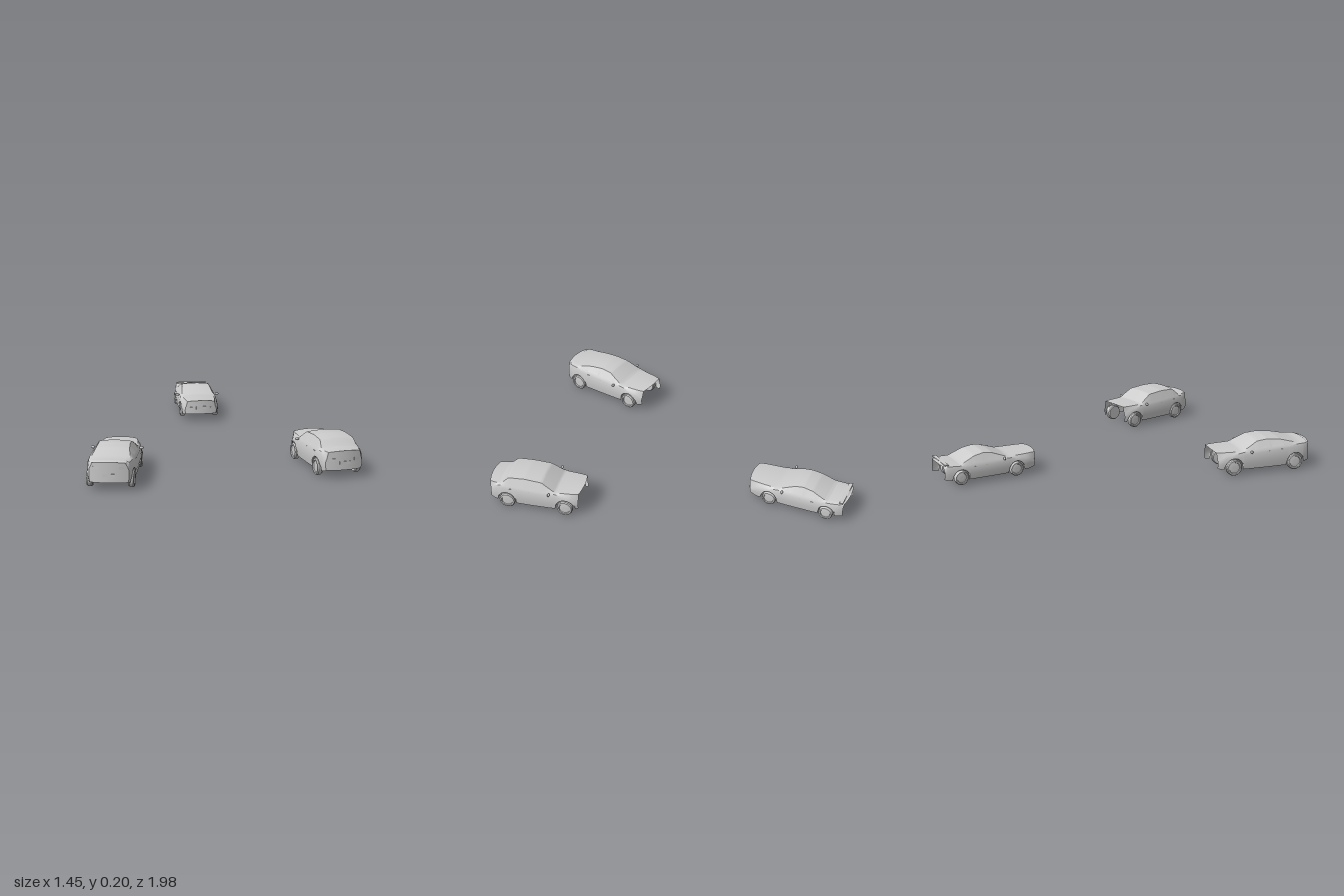
import * as THREE from 'three';
import { toCreasedNormals } from 'three/addons/utils/BufferGeometryUtils.js';

const mat = new THREE.MeshStandardMaterial({ color: 0xcccccc, side: THREE.DoubleSide });

function part(name, geometry, parent, x = 0, y = 0, z = 0) {
  const mesh = new THREE.Mesh(geometry, mat);
  mesh.name = name;
  mesh.position.set(x, y, z);
  parent.add(mesh);
  return mesh;
}

// Piecewise linear profile through [s, value] points
function along(points, s) {
  if (s <= points[0][0]) return points[0][1];
  for (let i = 1; i < points.length; i++) {
    const [s0, v0] = points[i - 1], [s1, v1] = points[i];
    if (s <= s1) return v0 + (v1 - v0) * (s - s0) / (s1 - s0);
  }
  return points[points.length - 1][1];
}

// Surface patch from a rule f(i, j) -> [x, y, z]
function patch(nu, nv, f) {
  const pos = [], idx = [];
  for (let i = 0; i <= nu; i++) for (let j = 0; j <= nv; j++) pos.push(...f(i, j));
  for (let i = 0; i < nu; i++) for (let j = 0; j < nv; j++) {
    const a = i * (nv + 1) + j, b = a + nv + 1;
    idx.push(a, b, a + 1, b, b + 1, a + 1);
  }
  const g = new THREE.BufferGeometry();
  g.setAttribute('position', new THREE.Float32BufferAttribute(pos, 3));
  g.setIndex(idx);
  return toCreasedNormals(g, 0.45);
}

const COLS = 10, SIDE = 4, STATIONS = 72;

// One car facing local +z
function makeCar(name, c) {
  const car = new THREE.Group();
  car.name = name;
  const bulge = 0.022, end = c.half - bulge;
  const roofY = Math.max(...c.roof.map(p => p[1]));

  // Cross-section rails at station s: rows of [half width, height] from sill to roof edge
  function rows(s) {
    const q = s * c.half / end;
    const t = Math.abs(s) / end;
    const hw = c.hw * (1 - 0.07 * t * t - 0.1 * t ** 10);
    let sill = 0.032 + 0.014 * t ** 8;
    for (const w of c.wheels) {
      const d = Math.abs(s - w), r = c.wheelR + 0.005;
      if (d < r) sill = Math.max(sill, c.wheelR + c.base + Math.sqrt(r * r - d * d));
    }
    const belt = along(c.belt, q);
    const top = Math.max(belt + 0.005, along(c.roof, q));
    const k = Math.min(1, (top - belt - 0.005) / (roofY - belt));
    const mid = Math.max(0.068, sill + 0.004);
    return [
      [hw * 0.95, sill],
      [hw, Math.min(mid, belt - 0.008)],
      [hw * 0.99, Math.max(mid, belt - 0.022) * 0.5 + (belt - 0.006) * 0.5],
      [hw * 0.94, belt],
      [hw * 0.85 + (c.roofHw - hw * 0.85) * k, top],
    ];
  }
  // Bend the ends into a bow seen from above
  const bow = (s, x) => s + Math.sign(s) * bulge * (1 - (x / c.hw) ** 2) * Math.abs(s / end) ** 5;
  function point(s, row, u) {
    const [w, y] = rows(s)[row];
    const x = w * u;
    return [x, y + (row === SIDE ? 0.006 * (1 - u * u) : 0), bow(s, x)];
  }

  // Body shell: left flank, top, right flank
  const station = i => -end + 2 * end * i / STATIONS;
  part('bodyShell', patch(2 * SIDE + COLS, STATIONS, (j, i) => {
    const s = station(i);
    if (j < SIDE) return point(s, j, 1);
    if (j <= SIDE + COLS) return point(s, SIDE, 1 - 2 * (j - SIDE) / COLS);
    return point(s, 2 * SIDE + COLS - j, -1);
  }), car);

  // The closed end; the other end is left open under the deck
  const e = c.closed;
  part('bumperWall', patch(SIDE, COLS, (r, j) => point(e * end, r, e * (1 - 2 * j / COLS))), car);
  const plateZ = e * (c.half + 0.001);
  part('numberPlate', new THREE.BoxGeometry(0.06, 0.017, 0.005), car, 0, 0.085, plateZ);
  for (const m of [-1, 1]) {
    const lamp = part('lamp', new THREE.BoxGeometry(0.042, 0.014, 0.006), car, m * 0.073, c.lampY, e * (c.half - 0.0105));
    lamp.rotation.y = m * e * 0.24;
  }

  for (const m of [-1, 1]) {
    // Side windows, lifted a hair off the cabin
    for (const [a, b] of c.windows) {
      part('sideWindow', patch(2, 8, (i, j) => {
        const s = a + (b - a) * j / 8, v = 0.12 + 0.38 * i;
        const p = point(s, 3, m), q = point(s, 4, m);
        return [p[0] + (q[0] - p[0]) * v + m * 0.0015, p[1] + (q[1] - p[1]) * v, s];
      }), car);
      part('doorHandle', new THREE.BoxGeometry(0.004, 0.004, 0.016), car,
        m * c.hw * 0.97, along(c.belt, a) - 0.014, a + 0.012);
    }
    // Door mirror
    const mirror = part('mirror', new THREE.SphereGeometry(1, 10, 8), car, m * (c.hw + 0.006), c.mirrorY, c.mirrorS);
    mirror.scale.set(0.012, 0.008, 0.007);

    // Wheels with a dished rim
    for (const w of c.wheels) {
      const R = c.wheelR, h = 0.015;
      const profile = [[0, -h], [R * 0.9, -h], [R, -h * 0.6], [R, h * 0.6], [R * 0.9, h],
        [R * 0.72, h], [R * 0.66, h * 0.65], [R * 0.2, h * 0.85], [0, h * 0.85]];
      const wheel = part('wheel', toCreasedNormals(new THREE.LatheGeometry(
        profile.map(p => new THREE.Vector2(...p)), 24), 0.6), car, m * (c.hw - 0.016), R + c.base, w);
      wheel.rotation.z = -m * Math.PI / 2;
    }
  }
  return car;
}

export function createModel() {
  const model = new THREE.Group();
  model.name = 'threeCars';

  const fastback = makeCar('fastbackCar', {
    half: 0.292, hw: 0.123, roofHw: 0.08, wheelR: 0.046, base: 0, wheels: [-0.19, 0.183],
    belt: [[-0.292, 0.125], [-0.278, 0.148], [-0.2, 0.148], [0.13, 0.132], [0.25, 0.114], [0.292, 0.095]],
    roof: [[-0.278, 0.148], [-0.215, 0.156], [-0.11, 0.18], [-0.03, 0.187], [0.04, 0.181], [0.14, 0.134]],
    windows: [[-0.12, -0.045], [-0.035, 0.06]],
    closed: -1, lampY: 0.123, mirrorY: 0.133, mirrorS: 0.085,
  });
  fastback.position.set(-0.555, 0, 0.695);
  fastback.rotation.y = Math.PI - 0.235;

  const hatchback = makeCar('hatchbackCar', {
    half: 0.267, hw: 0.123, roofHw: 0.09, wheelR: 0.045, base: 0, wheels: [-0.155, 0.178],
    belt: [[-0.267, 0.108], [-0.235, 0.135], [-0.19, 0.142], [0.13, 0.132], [0.225, 0.115], [0.267, 0.095]],
    roof: [[-0.205, 0.144], [-0.158, 0.186], [-0.06, 0.191], [0.05, 0.184], [0.135, 0.136]],
    windows: [[-0.145, -0.055], [-0.04, 0.06]],
    closed: -1, lampY: 0.103, mirrorY: 0.135, mirrorS: 0.095,
  });
  hatchback.position.set(0.583, 0, 0.684);
  hatchback.rotation.y = Math.PI + 0.115;

  const saloon = makeCar('saloonCar', {
    half: 0.287, hw: 0.117, roofHw: 0.082, wheelR: 0.04, base: 0.007, wheels: [-0.178, 0.154],
    belt: [[-0.287, 0.105], [-0.272, 0.12], [-0.19, 0.115], [0.11, 0.12], [0.25, 0.101], [0.287, 0.083]],
    roof: [[-0.19, 0.12], [-0.1, 0.156], [-0.04, 0.165], [0.01, 0.159], [0.115, 0.123]],
    windows: [[-0.11, -0.05], [-0.04, 0.04]],
    closed: 1, lampY: 0.081, mirrorY: 0.124, mirrorS: 0.075,
  });
  // Tail lip on the saloon
  part('tailLip', new THREE.BoxGeometry(0.19, 0.006, 0.022), saloon, 0, 0.128, -0.258);
  saloon.position.set(0.115, 0, -0.706);
  saloon.rotation.y = -0.058;

  model.add(fastback, hatchback, saloon);
  return model;
}
